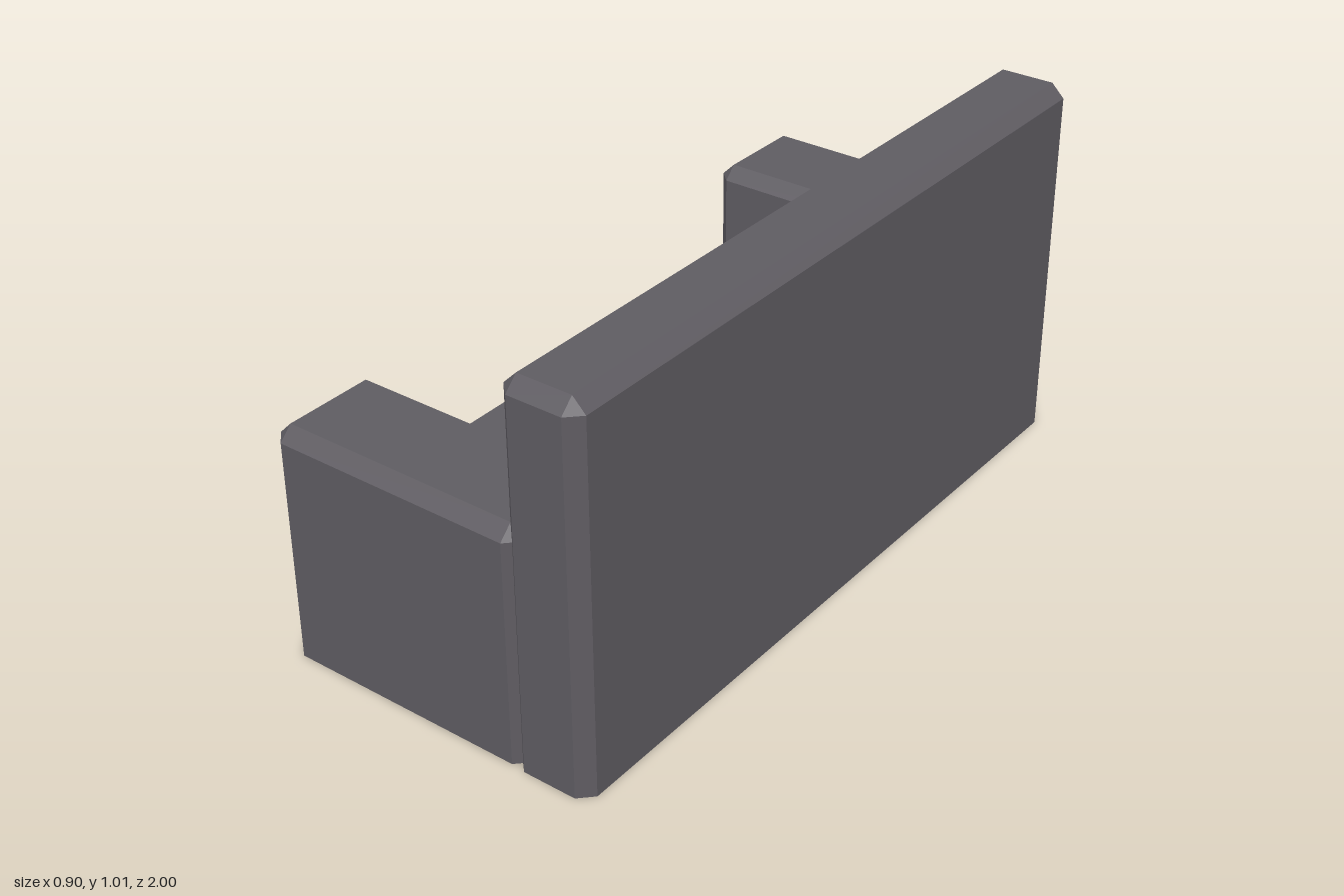
import * as THREE from 'three';

const fabric = new THREE.MeshStandardMaterial({ color: 0x5f5c62, side: THREE.DoubleSide });
fabric.name = 'charcoalFabric';

// Surface from a list of convex polygons, each a list of [x, y, z] corners
function polygons(name, faces) {
  const positions = [];
  for (const f of faces) {
    for (let i = 1; i < f.length - 1; i++) positions.push(...f[0], ...f[i], ...f[i + 1]);
  }
  const geometry = new THREE.BufferGeometry();
  geometry.setAttribute('position', new THREE.Float32BufferAttribute(positions, 3));
  geometry.computeVertexNormals();
  const mesh = new THREE.Mesh(geometry, fabric);
  mesh.name = name;
  return mesh;
}

// Open-bottomed upholstered block with chamfered upright and top edges.
// When notch is given, the -x face is cut away below it between z = -0.69 and 0.69.
function block(name, x0, x1, y0, y1, z0, z1, c, notch) {
  const ym = y1 - c;
  // Plan outline, running counter-clockwise as seen from above
  const ring = [
    [x0 + c, z1], [x1 - c, z1], [x1, z1 - c], [x1, z0 + c],
    [x1 - c, z0], [x0 + c, z0], [x0, z0 + c], [x0, z1 - c],
  ];
  const top = [[x0 + c, z1 - c], [x1 - c, z1 - c], [x1 - c, z0 + c], [x0 + c, z0 + c]];
  const topOf = [0, 1, 1, 2, 2, 3, 3, 0];
  const at = ([x, z], y) => [x, y, z];
  const faces = [top.map((p) => at(p, y1))];
  ring.forEach((a, i) => {
    const j = (i + 1) % 8;
    const b = ring[j];
    if (notch && i === 6) {
      faces.push([[x0, notch, a[1]], [x0, notch, b[1]], [x0, ym, b[1]], [x0, ym, a[1]]]);
      for (const [p, q] of [[a[1], -0.69], [0.69, b[1]]]) {
        faces.push([[x0, y0, p], [x0, y0, q], [x0, notch, q], [x0, notch, p]]);
      }
    } else {
      faces.push([at(a, y0), at(b, y0), at(b, ym), at(a, ym)]);
    }
    // Top chamfer, narrowing to a triangle at the corners
    const ta = at(top[topOf[i]], y1);
    const tb = at(top[topOf[j]], y1);
    faces.push(topOf[i] === topOf[j] ? [at(a, ym), at(b, ym), ta] : [at(a, ym), at(b, ym), tb, ta]);
  });
  return polygons(name, faces);
}

// Sheet swept along z from a profile of [x, y] points
function sheet(name, profile, halfWidth) {
  const faces = [];
  for (let i = 0; i < profile.length - 1; i++) {
    const [a, b] = [profile[i], profile[i + 1]];
    faces.push([[...a, -halfWidth], [...a, halfWidth], [...b, halfWidth], [...b, -halfWidth]]);
  }
  return polygons(name, faces);
}

export function createModel() {
  const sofa = new THREE.Group();
  sofa.name = 'sofa';

  sofa.add(block('backrest', 0.235, 0.45, 0, 1.01, -1, 1, 0.035, 0.1));
  sofa.add(block('leftArm', -0.45, 0.27, 0.005, 0.635, 0.69, 1, 0.035));
  sofa.add(block('rightArm', -0.45, 0.27, 0.005, 0.635, -1, -0.69, 0.035));

  // Seat between the arms
  sofa.add(sheet('seatBase', [[-0.355, 0.005], [-0.355, 0.2], [-0.38, 0.2]], 0.69));
  sofa.add(sheet('seatCushion', [[-0.38, 0.2], [-0.38, 0.375], [-0.355, 0.4], [0.235, 0.4]], 0.69));

  // Raised pad on the backrest
  const pad = new THREE.Mesh(new THREE.BoxGeometry(0.03, 0.475, 1.73), fabric);
  pad.name = 'backPad';
  pad.position.set(0.221, 0.6375, 0);
  sofa.add(pad);

  return sofa;
}
